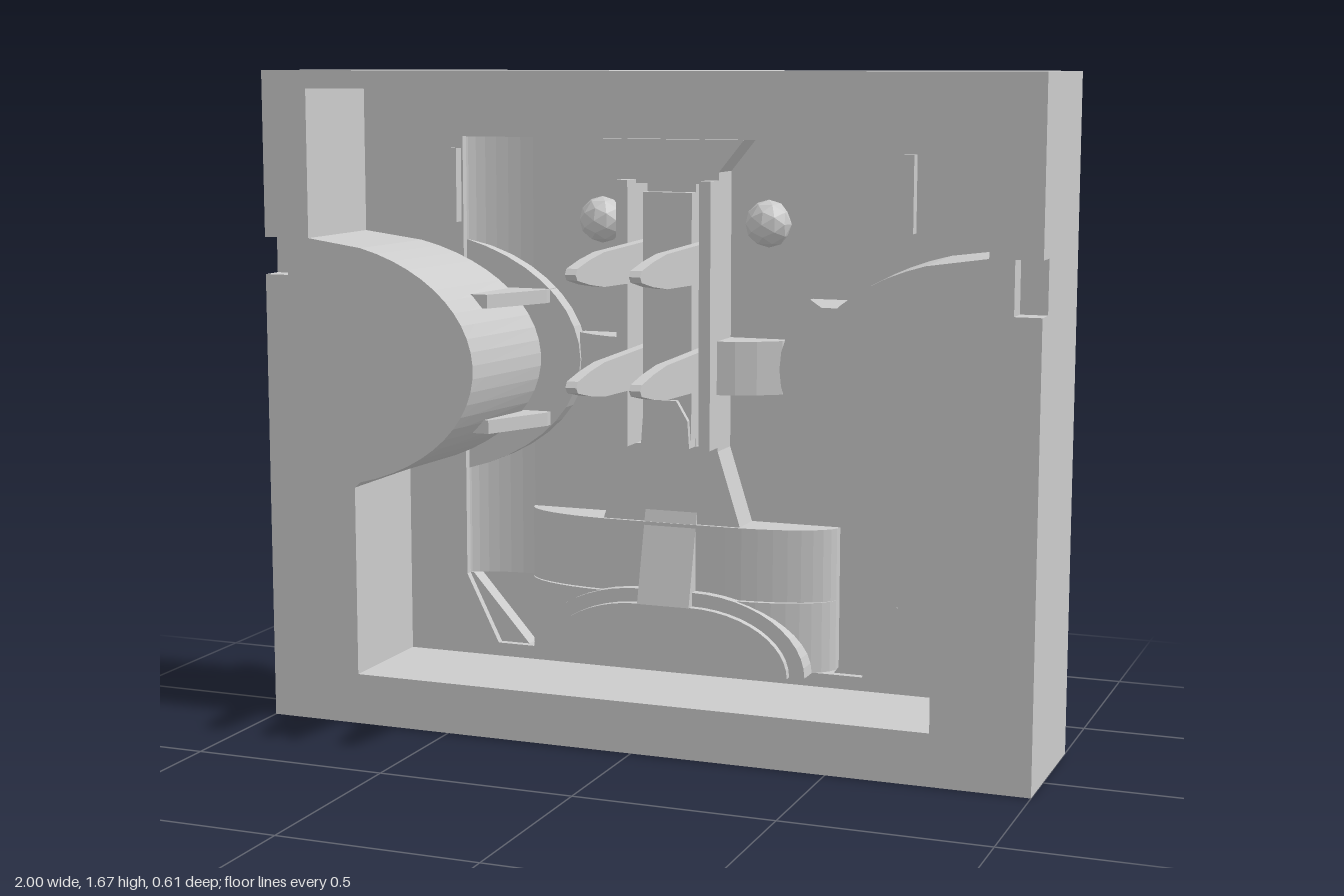
import * as THREE from 'three';

const BACK = -0.26, FLOOR = -0.18, DEEP = -0.245, FRONT = 0.13;

export function createModel() {
  const root = new THREE.Group();
  const mat = new THREE.MeshStandardMaterial({ color: 0xcccccc, flatShading: true });

  const add = (name, geo, parent = root) => {
    const m = new THREE.Mesh(geo, mat);
    m.name = name;
    parent.add(m);
    return m;
  };
  const poly = (pts) => new THREE.Shape(pts.map(([x, y]) => new THREE.Vector2(x, y)));
  // Closed outline from its right half, listed from top to bottom
  const mirrored = (half) => [...half, ...half.map(([x, y]) => [-x, y]).reverse()];
  // Outline in x,y pushed from z0 to z1
  const plate = (pts, z0, z1, holes = []) => {
    const s = poly(pts);
    holes.forEach((h) => s.holes.push(poly(h)));
    return new THREE.ExtrudeGeometry(s, { depth: z1 - z0, bevelEnabled: false }).translate(0, 0, z0);
  };
  // Outline in x,z pushed from y0 to y1
  const upright = (pts, y0, y1) =>
    new THREE.ExtrudeGeometry(poly(pts.map(([x, z]) => [x, -z])), { depth: y1 - y0, bevelEnabled: false })
      .rotateX(-Math.PI / 2).translate(0, y0, 0);
  const box = (x0, x1, y0, y1, z0, z1) =>
    new THREE.BoxGeometry(x1 - x0, y1 - y0, z1 - z0).translate((x0 + x1) / 2, (y0 + y1) / 2, (z0 + z1) / 2);
  const rect = (x0, x1, y0, y1) => [[x0, y0], [x1, y0], [x1, y1], [x0, y1]];

  // Cavity outline with a round lobe reaching in from each side
  const lobe = [];
  for (let i = 0; i <= 28; i++) {
    const a = 1.62 + (i / 28) * 2.96;
    lobe.push([0.9 + 0.48 * Math.cos(a), 0.932 + 0.318 * Math.sin(a)]);
  }
  const arc = lobe.filter(([x]) => x < 0.75);
  const cavity = mirrored([[0.875, 1.625], [0.875, 1.25], ...arc, [0.755, 0.618], [0.755, 0.13]]);

  // The lobes grow a little towards the floor
  const taper = (geo) => {
    const p = geo.attributes.position;
    for (let i = 0; i < p.count; i++) {
      const x = p.getX(i), y = p.getY(i), ax = Math.abs(x);
      if (ax < 0.75 && y > 0.6 && y < 1.26) {
        const t = (FRONT - p.getZ(i)) / (FRONT - FLOOR);
        p.setX(i, Math.sign(x) * (0.9 + (ax - 0.9) * (1 + 0.1 * t)));
      }
    }
    geo.computeVertexNormals();
    return geo;
  };

  // Frame, with a notch in each outer edge of its front layer
  const block = rect(-1, 1, 0, 1.67);
  const notched = [[-1, 0], [1, 0], [1, 1.12], [0.935, 1.12], [0.935, 1.25], [1, 1.25], [1, 1.67],
    [-1, 1.67], [-1, 1.25], [-0.935, 1.25], [-0.935, 1.155], [-1, 1.155]];
  add('frameFront', taper(plate(notched, 0.07, FRONT, [cavity])));
  add('frame', taper(plate(block, FLOOR, 0.07, [cavity])));

  // Cavity floor with a deeper recess, and the closed back
  const recess = mirrored([[0.59, 1.5], [0.59, 0.345], [0.5, 0.165]]);
  add('cavityFloor', plate(block, DEEP, FLOOR, [recess]));
  add('backPanel', plate(block, BACK, DEEP));

  // Central stem with two slots
  const stem = mirrored([[0.19, 1.5], [0.125, 1.42], [0.125, 0.72], [0.185, 0.53], [0.185, 0.3]]);
  const slots = [-1, 1].map((s) => rect(s * 0.08 - 0.015, s * 0.08 + 0.015, 0.73, 1.39));
  add('stem', plate(stem, DEEP, -0.15, slots));
  add('centreColumn', plate(mirrored([[0.065, 1.37], [0.065, 0.75]]), -0.2, -0.12));
  add('columnFoot', plate(mirrored([[0.03, 0.85], [0.06, 0.8], [0.065, 0.73]]), -0.2, -0.105));

  // Rounded shelves, flat in the middle and curving down to the recess
  const shelf = (x0, x1, top) => {
    const half = [];
    for (let i = 0; i <= 10; i++) {
      const a = (i / 10) * Math.PI / 2;
      half.push([x0 + (x1 - x0) * Math.sin(a), DEEP + (top - DEEP) * Math.cos(a)]);
    }
    return mirrored(half);
  };
  add('upperShelf', upright(shelf(0.15, 0.42, -0.14), 0.345, 0.53));
  add('lowerShelf', upright(shelf(0.15, 0.42, -0.125), 0.165, 0.345));

  // Stepped arch at the bottom with a sloping ridge above it
  const arch = (r, h) => {
    const half = [];
    for (let i = 0; i <= 12; i++) {
      const a = Math.PI / 2 * (1 - i / 12);
      half.push([0.07 + (r - 0.07) * Math.cos(a), 0.165 + (h - 0.165) * Math.sin(a)]);
    }
    return mirrored(half);
  };
  add('archStep', plate(arch(0.37, 0.36), -0.2, -0.115));
  add('arch', plate(arch(0.33, 0.325), -0.2, -0.095));
  const ridge = new THREE.ExtrudeGeometry(poly([[-0.24, 0.325], [-0.09, 0.325], [-0.155, 0.58], [-0.24, 0.58]]),
    { depth: 0.14, bevelEnabled: false }).rotateY(-Math.PI / 2).translate(0.07, 0, 0);
  add('archRidge', ridge);

  // Parts repeated on both sides
  const tooth = poly([[-0.22, -0.055], [0.13, -0.043], [0.22, -0.03], [0.295, -0.014], [0.305, 0],
    [0.295, 0.014], [0.22, 0.029], [0.13, 0.041], [-0.22, 0.05]]);
  const fillet = [[0.6, DEEP]];
  for (let i = 0; i <= 8; i++) {
    const a = (i / 8) * Math.PI / 2;
    fillet.push([0.42 + 0.18 * Math.sin(a), FLOOR - 0.065 * Math.cos(a)]);
  }
  const collar = [];
  for (let i = 0; i <= 24; i++) {
    const a = Math.PI / 2 + (i / 24) * Math.PI;
    collar.push([0.8 + 0.53 * Math.cos(a), 0.93 + 0.33 * Math.sin(a)]);
  }
  for (const s of [1, -1]) {
    const side = new THREE.Group();
    side.name = s > 0 ? 'leftSide' : 'rightSide';
    side.scale.x = s;
    root.add(side);

    for (const y of [1.197, 0.93]) {
      add('tooth', new THREE.ExtrudeGeometry(tooth, { depth: 0.028, bevelEnabled: false })
        .rotateY(-Math.PI / 2).translate(0.095, y, 0), side);
    }
    add('slotRib', box(0.095, 0.125, 0.73, 1.4, -0.2, -0.09), side);
    add('recessFillet', upright(fillet, 0.345, 1.5), side);
    add('lowerFillet', plate([[0.58, 0.345], [0.42, 0.165], [0.59, 0.165], [0.6, 0.345]], DEEP, -0.2), side);
    add('lobeCollar', plate(collar, DEEP, -0.2), side);
    // Arm joining the stem to the collar
    add('crossArm', upright([[0.12, DEEP], [0.12, -0.14], [0.17, -0.15], [0.22, -0.172], [0.275, -0.21], [0.275, DEEP]],
      0.865, 1.0), side);
    for (const y of [0.755, 1.075]) {
      add('fin', upright([[0.355, DEEP], [0.355, -0.18], [0.44, 0], [0.52, 0], [0.52, DEEP]], y, y + 0.035), side);
    }
    add('edgeBar', box(0.595, 0.622, 1.28, 1.47, -0.2, -0.15), side);
    // Ball and small oval that pass through the back
    add('ball', new THREE.IcosahedronGeometry(0.06, 1).translate(0.225, 1.29, -0.245), side);
    add('backOval', new THREE.CylinderGeometry(1, 1, 0.03, 16).rotateX(Math.PI / 2)
      .scale(0.015, 0.036, 1).translate(0.082, 1.395, -0.252), side);
  }
  return root;
}
